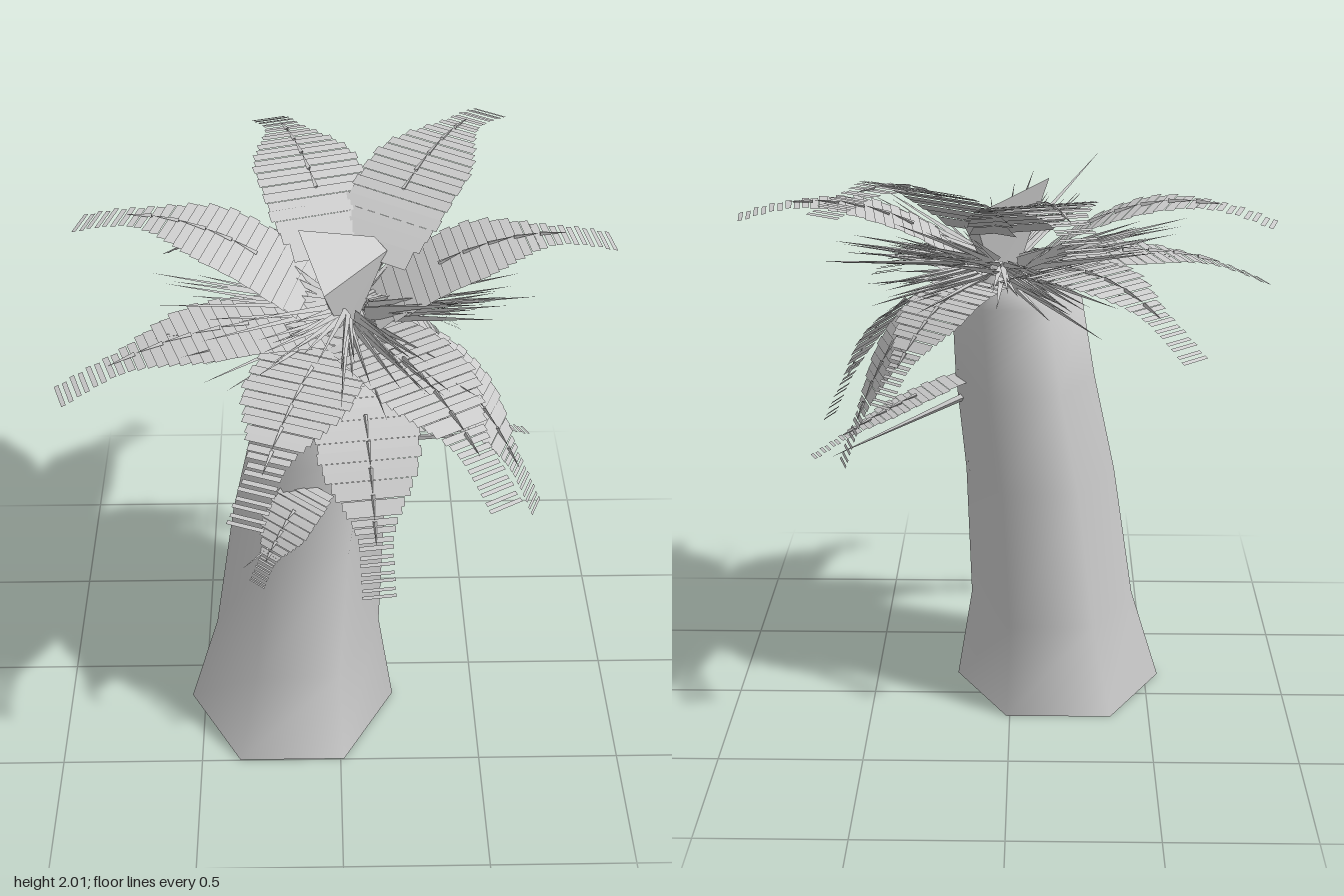
import * as THREE from 'three';
import { mergeVertices } from 'three/addons/utils/BufferGeometryUtils.js';

const V = (x, y, z) => new THREE.Vector3(x, y, z);
const grey = new THREE.MeshStandardMaterial({ color: 0xcccccc, side: THREE.DoubleSide });
const leaf = new THREE.MeshStandardMaterial({ color: 0xcccccc, side: THREE.DoubleSide, flatShading: true });

function meshOf(positions, name) {
  const g = new THREE.BufferGeometry();
  g.setAttribute('position', new THREE.Float32BufferAttribute(positions, 3));
  g.computeVertexNormals();
  const m = new THREE.Mesh(g, leaf);
  m.name = name;
  return m;
}

const quad = (out, a, b, c, d) => [a, b, c, a, c, d].forEach((p) => out.push(p.x, p.y, p.z));

// Thin three-sided spike from a to b
function spike(out, a, b, r) {
  const dir = b.clone().sub(a).normalize();
  const u = V(0.3, 1, 0.2).cross(dir).normalize();
  const w = dir.clone().cross(u);
  const ring = [0, 1, 2].map((i) => a.clone()
    .addScaledVector(u, r * Math.cos(i * 2.094)).addScaledVector(w, r * Math.sin(i * 2.094)));
  ring.forEach((p, i) => [p, ring[(i + 1) % 3], b].forEach((q) => out.push(q.x, q.y, q.z)));
}

// Frond width along its length: broad to the middle, then narrowing quickly to a thin tip
function widthAt(t) {
  const swell = 0.8 + 0.2 * THREE.MathUtils.smoothstep(t, 0, 0.2);
  return swell - 0.67 * THREE.MathUtils.smoothstep(t, 0.42, 0.8);
}

// Frond: stepped cross plates along an arched curve, parting toward the tip, with a thin rib
function frond(root, tip, arch, width, name) {
  const control = root.clone().lerp(tip, 0.5);
  control.y += arch * 2;
  const curve = new THREE.QuadraticBezierCurve3(root, control, tip);
  const side = V(tip.z - root.z, 0, root.x - tip.x).normalize();
  const out = [], n = 26;
  for (let i = 0; i < n; i++) {
    const t0 = (i / n) ** 0.8, t1 = ((i + 1) / n) ** 0.8, t = (t0 + t1) / 2;
    const loose = THREE.MathUtils.smoothstep(t, 0.55, 0.9);
    const mid = curve.getPointAt(t);
    const half = curve.getPointAt(t1).sub(curve.getPointAt(t0)).multiplyScalar(0.54 - 0.26 * loose);
    half.y *= 1 - 0.35 * loose;
    const s = side.clone().multiplyScalar(width * widthAt(t) * (i % 2 ? 0.5 : 0.48));
    mid.y += (i % 2) * 0.004;
    const a = mid.clone().sub(half), b = mid.clone().add(half);
    quad(out, a.clone().sub(s), a.clone().add(s), b.clone().add(s), b.clone().sub(s));
  }
  for (let i = 3; i < 8; i++) {
    const a = curve.getPointAt(i / 10), b = curve.getPointAt((i + 1) / 10);
    a.y += 0.01;
    b.y += 0.012;
    spike(out, a, b, 0.008);
  }
  return meshOf(out, name);
}

export function createModel() {
  const tree = new THREE.Group();
  tree.name = 'palmTree';

  // Leaning six-sided trunk, open below: [y, centre x, centre z, radius x, radius z]
  const rings = [
    [0, -0.175, 0.16, 0.375, 0.39], [0.35, -0.15, 0.135, 0.295, 0.35],
    [0.85, -0.105, 0.105, 0.265, 0.305], [1.2, -0.05, 0.105, 0.245, 0.28],
    [1.5, -0.02, 0.085, 0.225, 0.24], [1.6, 0.03, 0.03, 0.07, 0.07],
  ];
  let g = new THREE.CylinderGeometry(1, 1, rings.length - 1, 6, rings.length - 1, true);
  g.rotateY(Math.PI / 2);
  g.deleteAttribute('uv');
  g.deleteAttribute('normal');
  g = mergeVertices(g);
  const p = g.attributes.position;
  for (let i = 0; i < p.count; i++) {
    const [y, cx, cz, rx, rz] = rings[Math.round(p.getY(i) + (rings.length - 1) / 2)];
    p.setXYZ(i, cx + p.getX(i) * rx, y, cz + p.getZ(i) * rz);
  }
  g.computeVertexNormals();
  const trunk = new THREE.Mesh(g, grey);
  trunk.name = 'trunk';
  tree.add(trunk);

  // Flared bud: its slanted rim shrinks to a narrow neck in the crown
  const crown = V(0.03, 1.58, 0.03);
  const rim = [V(-0.13, 1.92, 0.03), V(-0.05, 1.8, 0.24), V(0.16, 1.79, -0.06), V(0.12, 1.82, -0.1)];
  const neck = rim.map((r) => r.clone().setY(crown.y).lerp(crown, 0.7));
  const bud = [];
  rim.forEach((r, i) => quad(bud, neck[i], neck[(i + 1) % 4], rim[(i + 1) % 4], r));
  quad(bud, ...rim);
  tree.add(meshOf(bud, 'centreBud'));

  // Crown fronds in tiers: height and distance of their roots, then [tip x, y, z, arch height, width]
  const tiers = [
    { name: 'upperFrond', y: 1.76, out: 0.12, tips: [
      [-0.24, 1.87, -0.86, 0.12, 0.37], [0.55, 1.95, -0.73, 0.12, 0.37]] },
    { name: 'middleFrond', y: 1.62, out: 0.08, tips: [
      [0.91, 1.8, -0.08, 0.12, 0.37], [-0.87, 1.81, -0.21, 0.14, 0.37]] },
    { name: 'sideFrond', y: 1.57, out: 0.06, tips: [
      [-0.91, 1.48, 0.33, 0.1, 0.36], [-0.3, 1.35, 0.85, 0.1, 0.37], [0.5, 1.38, 0.8, 0.11, 0.36],
      [0.42, 1.25, -0.43, 0.11, 0.28], [-0.59, 1.47, -0.62, 0.14, 0.33]] },
    { name: 'hangingFrond', y: 1.5, out: 0.13, tips: [
      [0.12, 0.94, 0.71, 0.19, 0.34], [0.67, 0.97, 0.28, 0.18, 0.3], [0.58, 0.94, -0.13, 0.19, 0.31]] },
  ];
  tiers.forEach(({ name, y, out, tips }) => tips.forEach(([tx, ty, tz, arch, width], i) => {
    const dir = V(tx - crown.x, 0, tz - crown.z).normalize();
    const root = crown.clone().setY(y).addScaledVector(dir, out);
    tree.add(frond(root, V(tx, ty, tz), arch, width, `${name}${i + 1}`));
  }));

  // Two low fronds on the trunk, with their stems
  tree.add(frond(V(-0.08, 1.13, 0.35), V(-0.28, 0.89, 0.57), 0.05, 0.2, 'lowFrondRight'));
  tree.add(frond(V(0.17, 1.2, 0.08), V(0.68, 0.98, -0.16), 0.02, 0.15, 'lowFrondLeft'));
  const stems = [];
  spike(stems, V(0.16, 1.13, 0.08), V(0.62, 0.98, -0.15), 0.015);
  spike(stems, V(-0.05, 1.05, 0.33), V(-0.33, 0.92, 0.52), 0.015);
  tree.add(meshOf(stems, 'lowStems'));

  // Young leaves: fans of needles around the crown, in three slopes
  let seed = 7;
  const rnd = () => (seed = (seed * 16807) % 2147483647) / 2147483647;
  const needles = [];
  for (let k = 0; k < 12; k++) {
    const rise = [0.34, -0.04, 0.14][k % 3];
    for (let j = 0; j < 12; j++) {
      const a = (k / 12) * Math.PI * 2 + 0.35 + (rnd() - 0.5) * 0.6;
      const out = V(Math.cos(a), rise + (rnd() - 0.5) * 0.25, Math.sin(a));
      const base = crown.clone().addScaledVector(out, 0.07);
      base.y += rnd() * 0.06;
      spike(needles, base, base.clone().addScaledVector(out, 0.25 + rnd() * 0.32), 0.013);
    }
  }
  tree.add(meshOf(needles, 'youngLeaves'));
  return tree;
}
